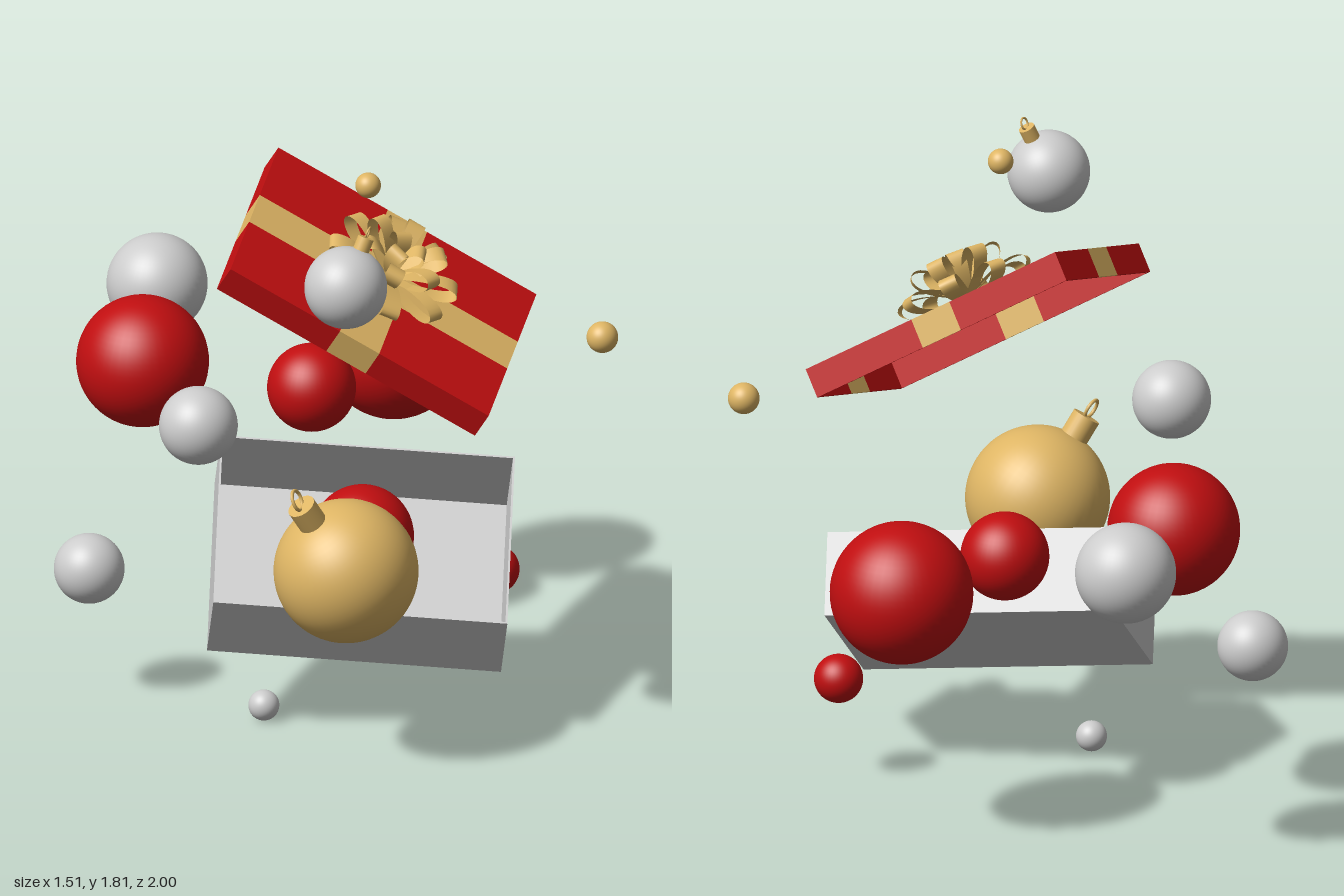
import * as THREE from 'three';

const material = (name, color) =>
  Object.assign(new THREE.MeshStandardMaterial({ color, side: THREE.DoubleSide }), { name });

export function createModel() {
  const silver = material('silver', 0xcccccc);
  const red = material('red', 0xc00e10);
  const gold = material('gold', 0xdeb564);
  const model = new THREE.Group();
  model.name = 'giftBoxWithBaubles';

  const add = (parent, name, geometry, mat, x = 0, y = 0, z = 0) => {
    const mesh = new THREE.Mesh(geometry, mat);
    mesh.name = name;
    mesh.position.set(x, y, z);
    parent.add(mesh);
    return mesh;
  };

  // Group tilted so its x and z axes follow two edges; its origin is the middle of the top
  const tilted = (name, xEdge, zEdge, origin) => {
    const x = new THREE.Vector3(...xEdge).normalize();
    const y = new THREE.Vector3(...zEdge).cross(x).normalize();
    const z = new THREE.Vector3().crossVectors(x, y);
    const group = new THREE.Group();
    group.name = name;
    group.quaternion.setFromRotationMatrix(new THREE.Matrix4().makeBasis(x, y, z));
    group.position.set(...origin);
    model.add(group);
    return group;
  };

  // Open box
  const box = tilted('openBox', [0.755, -0.072, 0.435], [-0.273, -0.339, 0.41], [-0.019, 0.6, 0.388]);
  const W = 0.874, D = 0.598, H = 0.256, T = 0.006;
  add(box, 'boxFloor', new THREE.BoxGeometry(W, T, D), silver, 0, -H + T / 2, 0);
  for (const s of [-1, 1]) {
    add(box, 'boxLongWall', new THREE.BoxGeometry(W, H, T), silver, 0, -H / 2, s * (D - T) / 2);
    add(box, 'boxShortWall', new THREE.BoxGeometry(T, H, D), silver, s * (W - T) / 2, -H / 2, 0);
  }

  // Lid: each side is split in three, with the ribbon as the middle strip
  const lid = tilted('lid', [0.626, -0.442, 0.443], [-0.412, -0.164, 0.423], [0.034, 1.385, 0.411]);
  const LW = 0.885, LD = 0.613, LH = 0.091, RIBBON = 0.135;
  const strips = (length) => {
    const side = (length - RIBBON) / 2, offset = (side + RIBBON) / 2;
    return [[-offset, side, false], [0, RIBBON, true], [offset, side, false]];
  };
  for (const [x, w, ribbonX] of strips(LW)) {
    for (const [z, d, ribbonZ] of strips(LD)) {
      const isRibbon = ribbonX || ribbonZ;
      add(lid, isRibbon ? 'lidRibbon' : 'lidTop', new THREE.BoxGeometry(w, T, d),
        isRibbon ? gold : red, x, -T / 2, z);
    }
  }
  for (const s of [-1, 1]) {
    for (const [x, w, ribbon] of strips(LW)) {
      add(lid, ribbon ? 'lidSideRibbon' : 'lidSide', new THREE.BoxGeometry(w, LH, T),
        ribbon ? gold : red, x, -LH / 2, s * (LD - T) / 2);
    }
    for (const [z, d, ribbon] of strips(LD)) {
      add(lid, ribbon ? 'lidSideRibbon' : 'lidSide', new THREE.BoxGeometry(T, LH, d),
        ribbon ? gold : red, s * (LW - T) / 2, -LH / 2, z);
    }
  }

  // Bow loop: a ribbon strip bent into a teardrop pointing along +x
  const loopGeometry = (length, height, width) => {
    const geometry = new THREE.PlaneGeometry(1, 1, 1, 28);
    const p = geometry.attributes.position;
    for (let i = 0; i < p.count; i++) {
      const a = (p.getY(i) + 0.5) * Math.PI * 2;
      const out = (1 - Math.cos(a)) / 2;
      p.setXYZ(i, length * out, height / 2 * Math.sin(a) * (0.35 + 0.75 * out),
        p.getX(i) * width * (0.5 + 0.5 * out));
    }
    geometry.computeVertexNormals();
    return geometry;
  };
  const bow = new THREE.Group();
  bow.name = 'bow';
  lid.add(bow);
  // Layers: count, length, opening, lift angle, turn, base height
  for (const [count, length, opening, lift, turn, base] of [
    [8, 0.215, 0.075, 0.2, 0.2, 0.025],
    [6, 0.18, 0.075, 0.72, 0.5, 0.03],
    [3, 0.14, 0.065, 1.2, 0.1, 0.035],
  ]) {
    const geometry = loopGeometry(length, opening, 0.055);
    for (let i = 0; i < count; i++) {
      const loop = add(bow, 'bowLoop', geometry, gold, 0, base, 0);
      loop.rotation.set(0, turn + i / count * Math.PI * 2, lift, 'YXZ');
    }
  }

  // Baubles: name, material, radius, x, y, z, and the lean of the hanger if there is one
  const baubles = [
    ['silverBauble', silver, 0.123, -0.373, 1.605, 0.88, -0.45],
    ['goldBauble', gold, 0.215, -0.287, 0.639, 0.736, 0.58],
    ['silverBall', silver, 0.117, -0.577, 1.035, 0.367],
    ['silverBall', silver, 0.15, 0, 0.964, -0.85],
    ['silverBall', silver, 0.105, -0.65, 0.423, -0.145],
    ['silverBall', silver, 0.046, -0.285, 0.05, 0.254],
    ['redBall', red, 0.197, -0.304, 0.922, -0.42],
    ['redBall', red, 0.132, 0.15, 0.82, -0.204],
    ['redBall', red, 0.213, 0.538, 0.81, -0.382],
    ['redBall', red, 0.153, 0.012, 0.553, 0.325],
    ['redBall', red, 0.073, 0.51, 0.325, 0.254],
    ['goldBall', gold, 0.038, -0.11, 1.772, 0.565],
    ['goldBall', gold, 0.047, 0.7, 1.126, 0.558],
  ];
  for (const [name, mat, r, x, y, z, lean] of baubles) {
    const bauble = new THREE.Group();
    bauble.name = name;
    bauble.position.set(x, y, z);
    model.add(bauble);
    add(bauble, name + 'Sphere', new THREE.SphereGeometry(r, 48, 32), mat);
    if (lean === undefined) continue;
    // Cap and wire ring
    bauble.rotation.z = lean;
    add(bauble, 'cap', new THREE.CylinderGeometry(0.2 * r, 0.2 * r, 0.36 * r, 24), gold, 0, 1.13 * r, 0);
    add(bauble, 'hangerRing', new THREE.TorusGeometry(0.14 * r, 0.025 * r, 8, 28), gold, 0, 1.43 * r, 0)
      .rotation.y = Math.PI / 4;
  }

  return model;
}
